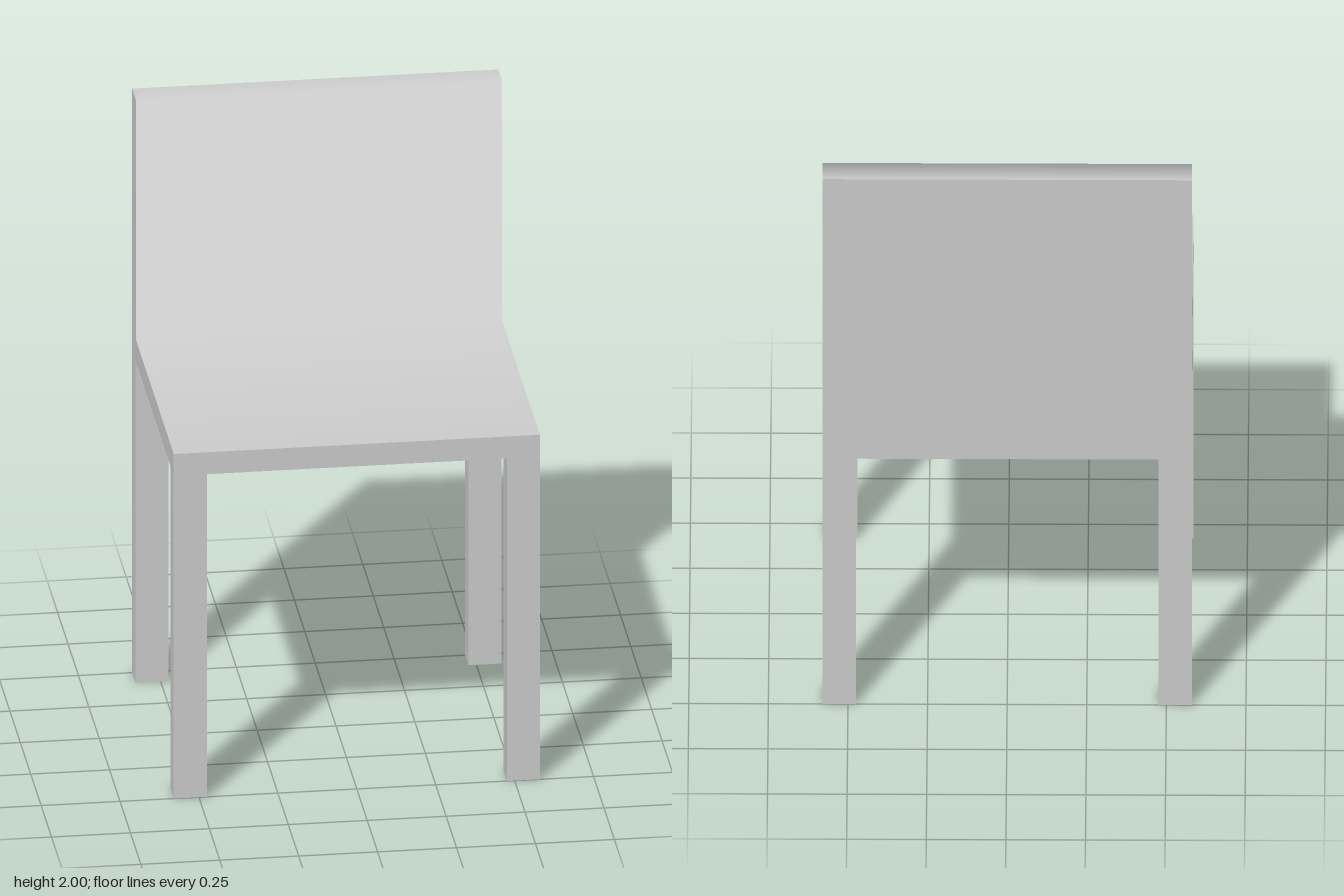
import * as THREE from 'three';

const WIDTH = 1.16;
const material = new THREE.MeshStandardMaterial({ color: 0xcccccc });

// Seat and backrest: one side profile (z, y) swept across the width
function seatAndBack() {
  const profile = [
    [0.5, 1.105], [0.5, 1.18], [-0.41, 1.18], [-0.41, 2],
    [-0.5, 2], [-0.5, 0.935], [-0.42, 0.935], [-0.42, 1.105],
  ];
  const shape = new THREE.Shape(profile.map(([z, y]) => new THREE.Vector2(z, y)));
  const geo = new THREE.ExtrudeGeometry(shape, { depth: WIDTH, bevelEnabled: false });
  geo.translate(0, 0, -WIDTH / 2).rotateY(-Math.PI / 2);

  // Soft shading where the seat top, backrest front and backrest top meet
  const { position: p, normal: n } = geo.attributes;
  const s = Math.SQRT1_2;
  for (let i = 0; i < p.count; i++) {
    const onSeam = Math.abs(p.getZ(i) + 0.41) < 0.002 && p.getY(i) > 1.17;
    if (onSeam && Math.abs(n.getX(i)) < 0.5) n.setXYZ(i, 0, s, s);
  }
  const mesh = new THREE.Mesh(geo, material);
  mesh.name = 'seatAndBackrest';
  return mesh;
}

// Square leg standing on the ground
function leg(name, x, z, height) {
  const mesh = new THREE.Mesh(new THREE.BoxGeometry(0.105, height, 0.08), material);
  mesh.position.set(x, height / 2, z);
  mesh.name = name;
  return mesh;
}

export function createModel() {
  const chair = new THREE.Group();
  chair.name = 'chair';
  chair.add(seatAndBack());
  for (const [side, sign] of [['Left', 1], ['Right', -1]]) {
    chair.add(leg('front' + side + 'Leg', sign * 0.5275, 0.46, 1.105));
    chair.add(leg('back' + side + 'Leg', sign * 0.5275, -0.46, 0.935));
  }
  return chair;
}
